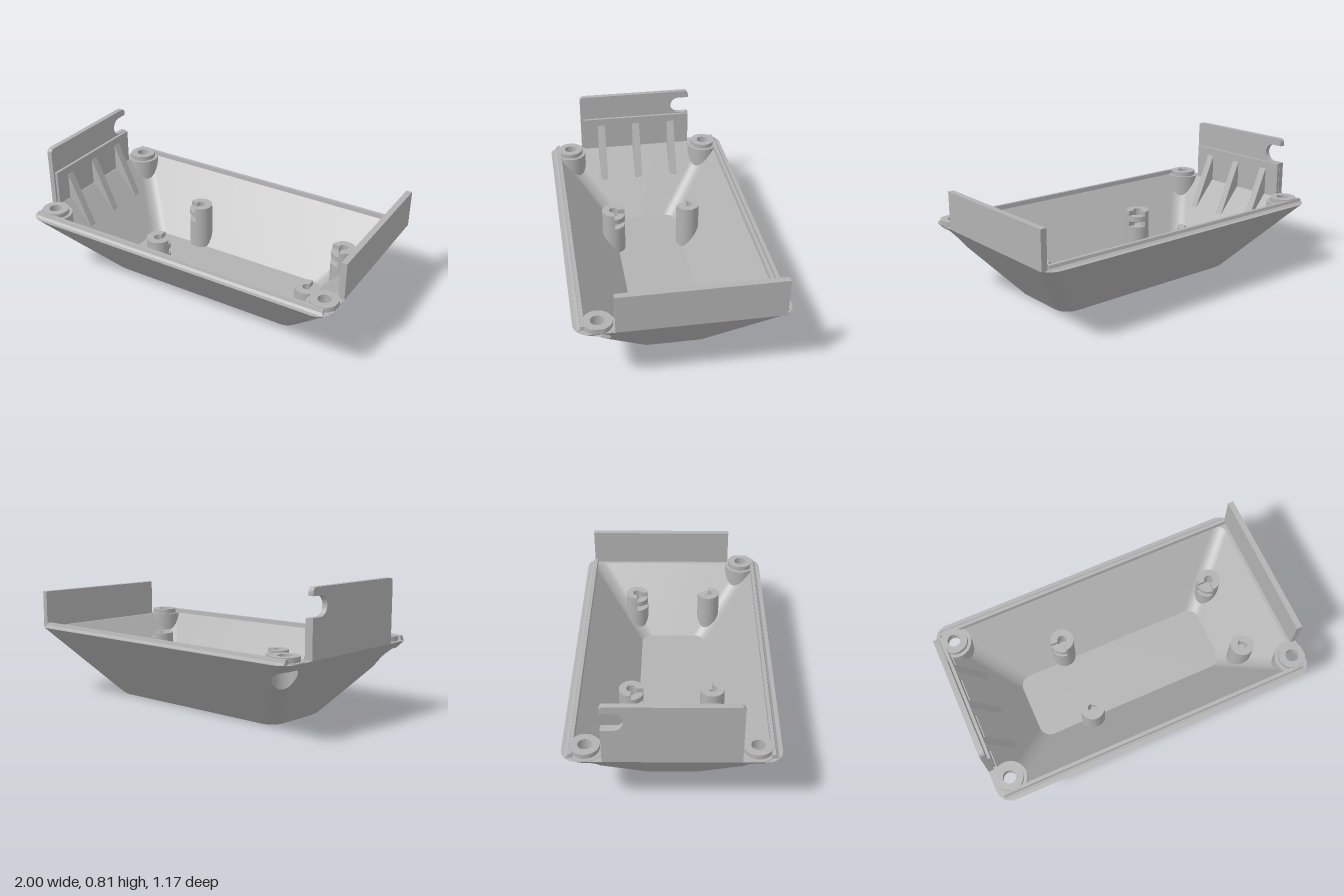
import * as THREE from 'three';
import { toCreasedNormals } from 'three/addons/utils/BufferGeometryUtils.js';

const RIM = 0.43, RECESS = 0.068;
// Cross-sections of the tray: [half width, half depth, corner radius, height]
const OUT_LOW = [0.65, 0.235, 0.09, 0.012], OUT_TOP = [1, 0.585, 0.09, RIM];
const IN_LOW = [0.62, 0.21, 0.07, 0.05], IN_TOP = [0.945, 0.53, 0.07, RIM];
const BASE = [0.632, 0.217, 0.085, 0];
const BOSSES = [[-0.9, -0.46], [-0.9, 0.455], [0.925, 0.455]];

const mix = (a, b, t) => a.map((v, i) => v + (b[i] - v) * t);

// Height of the sloped surface between two sections above a plan point
function height(x, z, low, high) {
  let t0 = 0, t1 = 1;
  for (let i = 0; i < 24; i++) {
    const t = (t0 + t1) / 2, [a, b, r] = mix(low, high, t);
    const dx = Math.abs(x) - a + r, dz = Math.abs(z) - b + r;
    const d = Math.hypot(Math.max(dx, 0), Math.max(dz, 0)) + Math.min(Math.max(dx, dz), 0) - r;
    if (d > 0) t0 = t; else t1 = t;
  }
  return low[3] + (high[3] - low[3]) * t0;
}
const outerY = (x, z) => height(x, z, OUT_LOW, OUT_TOP);
const innerY = (x, z) => height(x, z, IN_LOW, IN_TOP);

// Plan outline of a section, finely divided along its sides
function outline([a, b, r]) {
  const pts = [], signs = [[1, 1], [-1, 1], [-1, -1], [1, -1]];
  for (let k = 0; k < 4; k++) {
    const [sx, sz] = signs[k], [nx, nz] = signs[(k + 1) % 4];
    const cx = sx * (a - r), cz = sz * (b - r), ex = nx * (a - r), ez = nz * (b - r);
    for (let i = 0; i <= 9; i++) {
      const q = (k + i / 9) * Math.PI / 2;
      pts.push([cx + r * Math.cos(q), cz + r * Math.sin(q)]);
    }
    const q = (k + 1) * Math.PI / 2, n = k % 2 ? 50 : 90;
    for (let i = 1; i < n; i++) {
      const t = i / n;
      pts.push([cx + (ex - cx) * t + r * Math.cos(q), cz + (ez - cz) * t + r * Math.sin(q)]);
    }
  }
  return pts;
}

function meshData(pos, idx) {
  const g = new THREE.BufferGeometry();
  g.setAttribute('position', new THREE.Float32BufferAttribute(pos, 3));
  g.setIndex(idx);
  g.computeVertexNormals();
  return g;
}

// Loft between two sections, with round openings punched at the screw bosses
function loft(from, to, rows, yAt) {
  const pos = [], idx = [], cut = [];
  let n = 0;
  for (let j = 0; j <= rows; j++) {
    const s = mix(from, to, j / rows), pts = outline(s);
    n = pts.length;
    for (let [x, z] of pts) {
      let y = s[3], inside = false;
      for (const [cx, cz] of BOSSES) {
        const d = Math.hypot(x - cx, z - cz);
        if (d < RECESS && d > 1e-6) {
          x = cx + (x - cx) * RECESS / d;
          z = cz + (z - cz) * RECESS / d;
          y = yAt(x, z);
          inside = true;
        }
      }
      pos.push(x, y, z);
      cut.push(inside);
    }
  }
  const tri = (a, b, c) => { if (!(cut[a] && cut[b] && cut[c])) idx.push(a, b, c); };
  for (let j = 0; j < rows; j++) for (let i = 0; i < n; i++) {
    const a = j * n + i, b = j * n + (i + 1) % n;
    tri(a, a + n, b);
    tri(b, a + n, b + n);
  }
  return meshData(pos, idx);
}

// Flat cap filling a section
function cap(section, up) {
  const s = new THREE.Shape(outline(section).map(([x, z]) => new THREE.Vector2(x, z)));
  return new THREE.ShapeGeometry(s).rotateX(up ? -Math.PI / 2 : Math.PI / 2).translate(0, section[3], 0);
}

// Round wall whose lower edge follows a surface
function roundWall(cx, cz, r, top, bottomAt) {
  const pos = [], idx = [], n = 48;
  for (let i = 0; i <= n; i++) {
    const q = i / n * Math.PI * 2, z = cz + r * Math.sin(q);
    const x = THREE.MathUtils.clamp(cx + r * Math.cos(q), -1, 1);
    pos.push(x, Math.min(top, bottomAt(x, z)), z, x, top, z);
    if (i < n) idx.push(2 * i, 2 * i + 1, 2 * i + 2, 2 * i + 2, 2 * i + 1, 2 * i + 3);
  }
  return meshData(pos, idx);
}

// Part of a ring, standing between two heights
function ringSector(r0, r1, a0, a1, y0, y1) {
  const s = new THREE.Shape();
  s.absarc(0, 0, r1, a0, a1, false);
  s.absarc(0, 0, r0, a1, a0, true);
  const g = new THREE.ExtrudeGeometry(s, { depth: y1 - y0, bevelEnabled: false, curveSegments: 24 });
  return toCreasedNormals(g.rotateX(-Math.PI / 2).translate(0, y0, 0), 0.6);
}

// Extrude a (z, y) profile along x
function alongX(shape, x0, x1) {
  const g = new THREE.ExtrudeGeometry(shape, { depth: x1 - x0, bevelEnabled: false, curveSegments: 16 });
  return toCreasedNormals(g.rotateY(-Math.PI / 2).translate(x1, 0, 0), 0.6);
}
const polygon = (pts) => new THREE.Shape(pts.map((p) => new THREE.Vector2(...p)));

export function createModel() {
  const model = new THREE.Group();
  model.name = 'enclosureHalf';
  const grey = new THREE.MeshStandardMaterial({ color: 0xb2b2b2, side: THREE.DoubleSide });
  grey.name = 'greyPlastic';
  const add = (name, geometry, x = 0, y = 0, z = 0, parent = model) => {
    const m = new THREE.Mesh(geometry, grey);
    m.name = name;
    m.position.set(x, y, z);
    parent.add(m);
    return m;
  };

  // Tray shell
  add('outerWall', loft(OUT_LOW, OUT_TOP, 24, outerY));
  add('rim', loft(OUT_TOP, IN_TOP, 4, () => RIM));
  add('innerWall', loft(IN_TOP, IN_LOW, 24, innerY));
  add('bottomEdge', loft(BASE, OUT_LOW, 1, outerY));
  add('bottom', cap(BASE, false));
  add('floor', cap(IN_LOW, true));

  // Lips along the long sides
  for (const s of [1, -1]) {
    const lip = polygon([[s * 0.52, RIM], [s * 0.562, RIM], [s * 0.548, 0.44], [s * 0.543, 0.457], [s * 0.523, 0.457]]);
    add(s > 0 ? 'frontLip' : 'backLip', alongX(lip, -0.97, 0.96));
  }

  // Screw bosses with recesses open to the underside
  for (const [cx, cz] of BOSSES) {
    const boss = new THREE.Group();
    boss.name = 'screwBoss';
    model.add(boss);
    const profile = [[RECESS, 0.41], [0.038, 0.41], [0.038, 0.462], [0.08, 0.462], [0.08, 0.433], [0.1, 0.433]];
    const collar = new THREE.LatheGeometry(profile.map((p) => new THREE.Vector2(...p)), 48);
    collar.translate(cx, 0, cz);
    const p = collar.attributes.position;
    for (let i = 0; i < p.count; i++) p.setX(i, THREE.MathUtils.clamp(p.getX(i), -1, 1));
    add('bossCollar', toCreasedNormals(collar, 0.6), 0, 0, 0, boss);
    add('bossWall', roundWall(cx, cz, 0.1, 0.433, innerY), 0, 0, 0, boss);
    add('screwRecess', roundWall(cx, cz, RECESS, 0.41, outerY), 0, 0, 0, boss);
  }

  // Slotted standoffs
  for (const x of [-0.29, 0.72]) for (const z of [-0.245, 0.235]) {
    const post = new THREE.Group();
    post.name = 'standoff';
    model.add(post);
    const q = z < 0 ? Math.PI : 0, h = Math.PI / 2;
    add('standoffBody', roundWall(x, z, 0.072, 0.235, innerY), 0, 0, 0, post);
    add('standoffFloor', new THREE.CircleGeometry(0.072, 48).rotateX(-h), x, 0.235, z, post);
    add('standoffRing', ringSector(0.028, 0.072, q + h, q + 4 * h, 0.235, 0.335), x, 0, z, post);
    add('standoffBridge', ringSector(0.028, 0.072, q, q + h, 0.27, 0.305), x, 0, z, post);
  }

  // Tall end plate with a rounded cable notch
  const tall = new THREE.Shape();
  tall.moveTo(0.37, RIM);
  tall.lineTo(0.37, 0.78);
  tall.absarc(0.345, 0.78, 0.025, 0, Math.PI / 2, false);
  tall.lineTo(-0.34, 0.805);
  tall.absarc(-0.34, 0.78, 0.025, Math.PI / 2, Math.PI, false);
  tall.lineTo(-0.365, 0.76);
  tall.absarc(-0.3, 0.705, 0.055, Math.PI / 2, -Math.PI / 2, true);
  tall.lineTo(-0.365, 0.65);
  tall.lineTo(-0.365, RIM);
  add('rightEndPlate', alongX(tall, -1, -0.968));
  add('rightPlateBacking', new THREE.BoxGeometry(0.018, 0.215, 0.72), -0.96, 0.5375, -0.003);

  // Plain end plate
  add('leftEndPlate', new THREE.BoxGeometry(0.035, 0.225, 0.91), 0.9825, 0.5425, -0.085);

  // Bracing ribs behind the tall plate
  const rib = polygon([[-0.96, 0.6], [-0.952, 0.6], [-0.8, 0.262], [-0.81, 0.24], [-0.96, 0.42]]);
  for (const z of [-0.24, 0, 0.235]) {
    add('rib', new THREE.ExtrudeGeometry(rib, { depth: 0.048, bevelEnabled: false }), 0, 0, z - 0.024);
  }
  return model;
}
